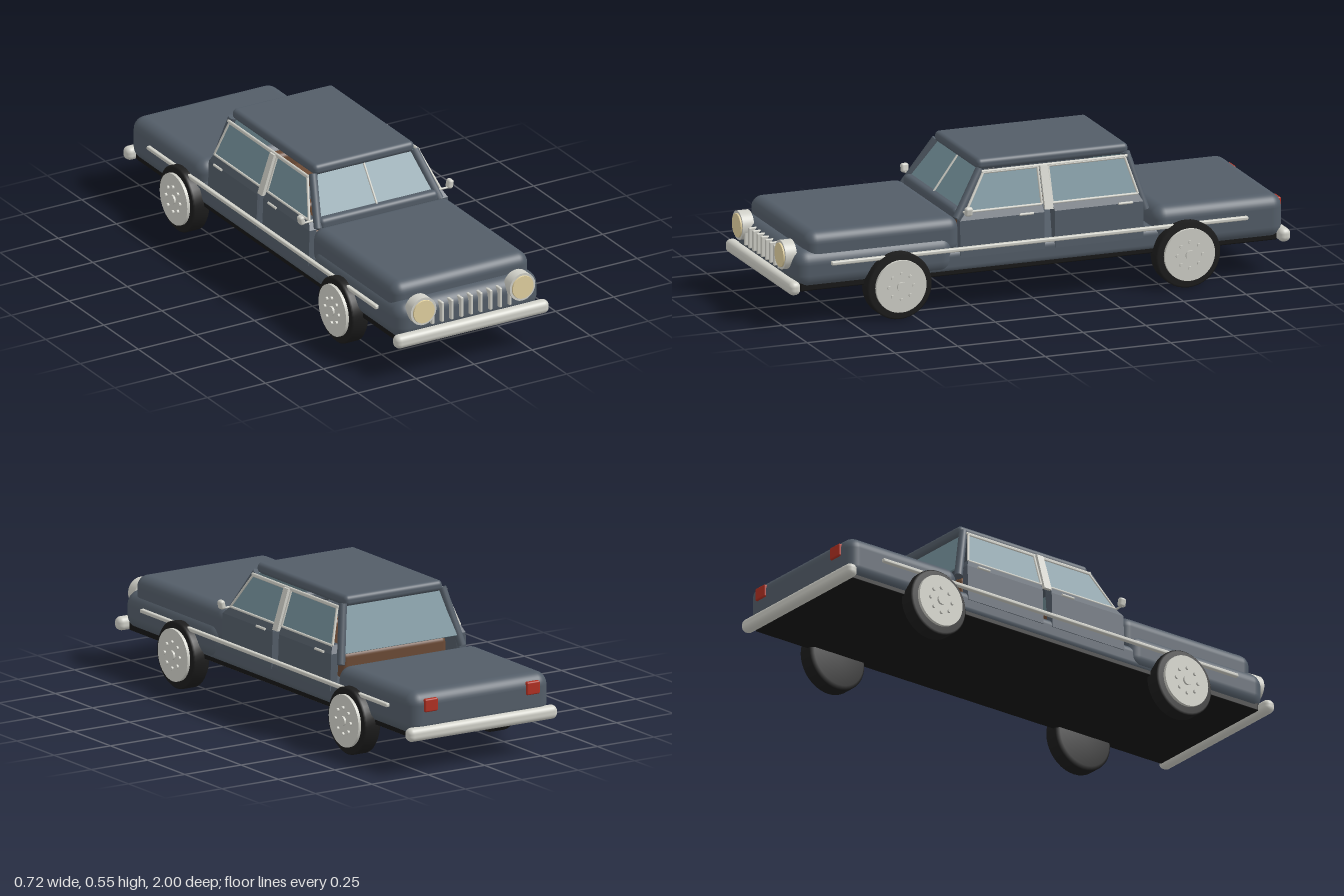
import * as THREE from 'three';
import { RoundedBoxGeometry } from 'three/addons/geometries/RoundedBoxGeometry.js';
import { ConvexGeometry } from 'three/addons/geometries/ConvexGeometry.js';

const mat = (color) => new THREE.MeshStandardMaterial({ color });
const V = (x, y, z) => new THREE.Vector3(x, y, z);

export function createModel() {
  const car = new THREE.Group();
  car.name = 'car';
  const paint = mat(0x535d68), chrome = mat(0xd0d0c8), glass = mat(0x74909a), rubber = mat(0x1c1c1c);
  const black = mat(0x161616), lampGlass = mat(0xe2d1a0), red = mat(0xb03022), leather = mat(0x6b4a35);

  function add(name, geometry, material, parent = car) {
    const mesh = new THREE.Mesh(geometry, material);
    mesh.name = name;
    parent.add(mesh);
    return mesh;
  }
  // Rounded block given by its minimum and maximum on each axis
  function block(name, x0, x1, y0, y1, z0, z1, r, material) {
    const m = add(name, new RoundedBoxGeometry(x1 - x0, y1 - y0, z1 - z0, 5, r), material);
    m.position.set((x0 + x1) / 2, (y0 + y1) / 2, (z0 + z1) / 2);
    return m;
  }
  // Round rod between two points
  function rod(name, a, b, r, material) {
    const m = add(name, new THREE.CylinderGeometry(r, r, a.distanceTo(b), 12), material);
    m.position.copy(a).add(b).multiplyScalar(0.5);
    m.quaternion.setFromUnitVectors(V(0, 1, 0), b.clone().sub(a).normalize());
    return m;
  }
  // Flat panel through corner points, thickened along an offset
  function panel(name, corners, offset, material) {
    return add(name, new ConvexGeometry([...corners, ...corners.map((p) => p.clone().add(offset))]), material);
  }
  // Cylinder lying along x or z
  function disc(name, axis, r, depth, pos, material, r2 = r) {
    const g = new THREE.CylinderGeometry(r, r2, depth, 40);
    if (axis === 'x') g.rotateZ(-Math.PI / 2);
    else g.rotateX(Math.PI / 2);
    const m = add(name, g, material);
    m.position.copy(pos);
    return m;
  }

  // Body shell
  block('frontBody', -0.31, 0.31, 0.14, 0.29, 0.33, 0.97, 0.055, paint);
  block('hood', -0.295, 0.295, 0.21, 0.355, 0.305, 0.92, 0.045, paint);
  block('trunk', -0.31, 0.31, 0.14, 0.31, -0.98, -0.46, 0.05, paint);
  block('sill', -0.3, 0.3, 0.14, 0.235, -0.6, 0.5, 0.03, paint);
  block('underside', -0.295, 0.295, 0.135, 0.17, -0.955, 0.945, 0.005, black);
  block('cowl', -0.255, 0.255, 0.33, 0.378, 0.27, 0.32, 0.018, paint);
  block('roof', -0.217, 0.217, 0.503, 0.545, -0.395, 0.21, 0.018, paint);

  // Seats
  for (const z of [-0.4, 0.03]) {
    block('seatBack', -0.23, 0.23, 0.2, 0.33, z, z + 0.05, 0.02, leather);
    block('seatCushion', -0.23, 0.23, 0.2, 0.28, z + 0.04, z + 0.18, 0.02, leather);
  }

  // Windshield and rear window
  panel('windshield', [V(-0.215, 0.51, 0.195), V(0.215, 0.51, 0.195), V(0.245, 0.365, 0.3), V(-0.245, 0.365, 0.3)],
    V(0, -0.004, -0.006), glass);
  rod('windshieldDivider', V(0, 0.507, 0.2), V(0, 0.376, 0.296), 0.004, chrome);
  panel('rearWindow', [V(-0.215, 0.51, -0.38), V(0.215, 0.51, -0.38), V(0.25, 0.34, -0.44), V(-0.25, 0.34, -0.44)],
    V(0, -0.003, 0.006), glass);

  // Side surface of the cabin, leaning inwards towards the roof
  const sideX = (y) => 0.237 + (0.505 - y) * 0.33;
  for (const s of [-1, 1]) {
    const P = (y, z, out = 0) => V(s * (sideX(y) + out), y, z);
    rod('frontPillar', V(s * 0.218, 0.51, 0.2), V(s * 0.262, 0.34, 0.31), 0.016, paint);
    rod('rearPillar', V(s * 0.22, 0.515, -0.38), V(s * 0.268, 0.3, -0.44), 0.016, paint);
    panel('centrePillar', [P(0.505, -0.028), P(0.505, -0.058), P(0.35, -0.062), P(0.35, -0.028)], V(s * 0.014, 0, 0), chrome);
    rod('roofRail', P(0.504, 0.2), P(0.504, -0.38), 0.006, chrome);

    // Doors: front and rear z at window top, window base and door foot
    const doors = [
      ['front', [0.195, 0.28, 0.31], [-0.022, -0.022, -0.026]],
      ['rear', [-0.064, -0.064, -0.068], [-0.37, -0.405, -0.42]],
    ];
    for (const [side, f, b] of doors) {
      panel(side + 'Door', [V(s * 0.283, 0.37, f[1]), V(s * 0.283, 0.37, b[1]), V(s * 0.298, 0.34, f[2]),
        V(s * 0.298, 0.34, b[2]), V(s * 0.303, 0.2, f[2]), V(s * 0.303, 0.2, b[2])], V(-s * 0.03, 0, 0), paint);
      const frame = [P(0.5, f[0]), P(0.5, b[0]), P(0.368, b[1]), P(0.368, f[1])];
      panel(side + 'SideWindow', frame, V(-s * 0.006, 0, 0), glass);
      frame.forEach((p, i) => rod(side + 'WindowFrame', p, frame[(i + 1) % 4], 0.005, chrome));
      rod(side + 'DoorHandle', V(s * 0.303, 0.342, b[2] + 0.045), V(s * 0.303, 0.342, b[2] + 0.1), 0.005, chrome);
    }

    // Side trim and mirror
    block('sideTrim', s * 0.315 - 0.009, s * 0.315 + 0.009, 0.23, 0.245, -0.83, 0.83, 0.005, chrome);
    rod('mirrorArm', V(s * 0.26, 0.366, 0.285), V(s * 0.322, 0.366, 0.285), 0.004, chrome);
    const mirror = block('mirror', s * 0.32 - 0.011, s * 0.32 + 0.011, 0.363, 0.398, 0.27, 0.3, 0.009, chrome);
    mirror.rotation.z = -s * 0.2;

    // Lamps
    disc('headlightRim', 'z', 0.055, 0.045, V(s * 0.213, 0.262, 0.97), chrome);
    disc('headlightLens', 'z', 0.045, 0.01, V(s * 0.213, 0.262, 0.993), lampGlass, 0.047);
    block('tailLight', s * 0.226 - 0.029, s * 0.226 + 0.029, 0.235, 0.285, -0.988, -0.965, 0.006, red);

    // Wheels with studded hubcaps
    for (const z of [0.565, -0.585]) {
      const tyre = new THREE.LatheGeometry([[0, -0.037], [0.115, -0.037], [0.128, -0.024], [0.128, 0.03],
        [0.121, 0.037], [0, 0.037]].map(([r, y]) => new THREE.Vector2(r, y)), 40);
      tyre.rotateZ(-s * Math.PI / 2);
      add('tyre', tyre, rubber).position.set(s * 0.303, 0.128, z);
      disc('hubcap', 'x', 0.1, 0.012, V(s * 0.346, 0.13, z), chrome);
      for (let i = 0; i < 8; i++) {
        const a = (i * Math.PI) / 4;
        disc('hubStud', 'x', 0.007, 0.016, V(s * 0.352, 0.13 + 0.05 * Math.sin(a), z + 0.05 * Math.cos(a)), chrome);
      }
      disc('hubCentre', 'x', 0.018, 0.014, V(s * 0.353, 0.13, z), chrome);
    }
  }

  // Grille bars
  for (let i = -4; i <= 4; i++) {
    const x = i * 0.0417;
    block('grilleBar', x - 0.006, x + 0.006, 0.195, 0.275, 0.95, 0.985, 0.004, chrome);
  }

  // Bumpers
  block('frontBumper', -0.33, 0.33, 0.13, 0.182, 0.953, 1, 0.021, chrome);
  block('rearBumper', -0.33, 0.33, 0.13, 0.182, -1, -0.953, 0.021, chrome);
  return car;
}
